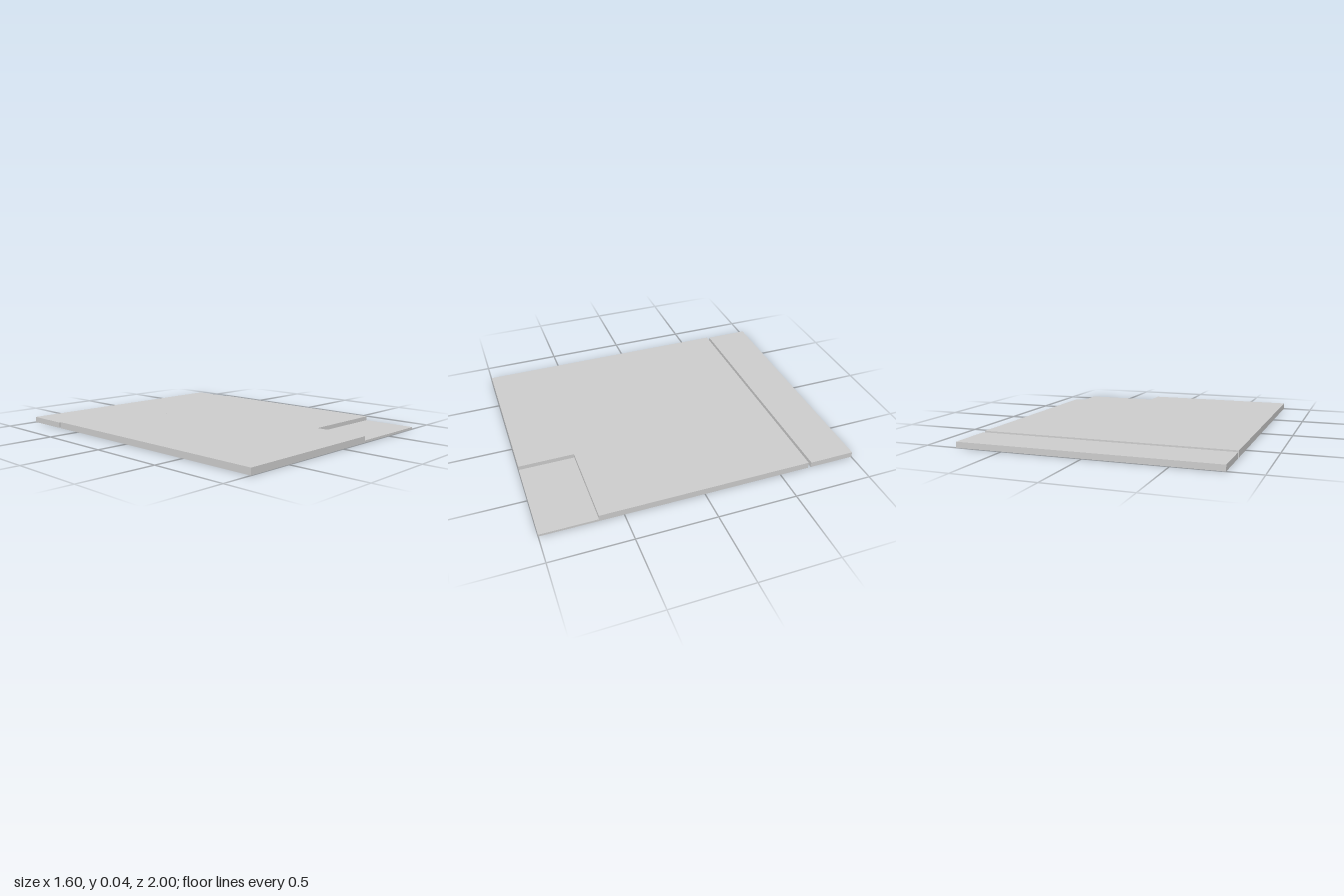
import * as THREE from 'three';

const TOP = 0.041, INLAY = 0.001;

export function createModel() {
  const model = new THREE.Group();
  model.name = 'floorSlabs';
  const grey = new THREE.MeshStandardMaterial({ color: 0xcccccc, flatShading: true });

  // Box given by its limits on each axis
  function block(name, x0, x1, y0, y1, z0, z1, parent = model) {
    const mesh = new THREE.Mesh(new THREE.BoxGeometry(x1 - x0, y1 - y0, z1 - z0), grey);
    mesh.position.set((x0 + x1) / 2, (y0 + y1) / 2, (z0 + z1) / 2);
    mesh.name = name;
    parent.add(mesh);
  }

  // Main slab with the front left corner cut out
  const outline = new THREE.Shape([
    [-0.8, -1], [0.23, -1], [0.23, -0.65], [0.8, -0.65], [0.8, 0.69], [-0.8, 0.69],
  ].map(([x, y]) => new THREE.Vector2(x, y)));
  const slabGeometry = new THREE.ExtrudeGeometry(outline, { depth: TOP - INLAY, bevelEnabled: false });
  slabGeometry.rotateX(-Math.PI / 2);
  const slab = new THREE.Mesh(slabGeometry, grey);
  slab.name = 'mainSlab';
  model.add(slab);

  // Low corner landing and separate strip behind the gap
  block('cornerLanding', 0.23, 0.8, 0, 0.014, 0.65, 1);
  block('backSlab', -0.8, 0.8, 0, 0.036, -1, -0.71);

  // Smooth floor panels, flush with the boards
  const y0 = TOP - INLAY;
  block('frontRoomFloor', -0.8, -0.18, y0, TOP, 0.48, 1);
  block('middleRoomFloor', -0.8, -0.18, y0, TOP, 0.09, 0.48);
  block('entryFloor', -0.18, 0.14, y0, TOP, 0.52, 1);

  // Staggered floorboards running front to back, zone by zone
  const boards = new THREE.Group();
  boards.name = 'floorboards';
  model.add(boards);
  const zones = [[-0.8, -0.18, 0.09], [-0.18, 0.14, 0.52], [0.14, 0.23, 1], [0.23, 0.8, 0.65]];
  const back = -0.69, length = 0.3;
  for (const [x0, x1, front] of zones) {
    const rows = Math.round((x1 - x0) / 0.045);
    const width = (x1 - x0) / rows;
    for (let i = 0; i < rows; i++) {
      const x = x0 + i * width;
      let z = back, end = back + length * (1 + (i % 3)) / 3;
      while (z < front - 0.001) {
        const next = Math.min(end, front);
        block('floorboard', x, x + width, y0, TOP, z, next, boards);
        z = next;
        end += length;
      }
    }
  }
  return model;
}
